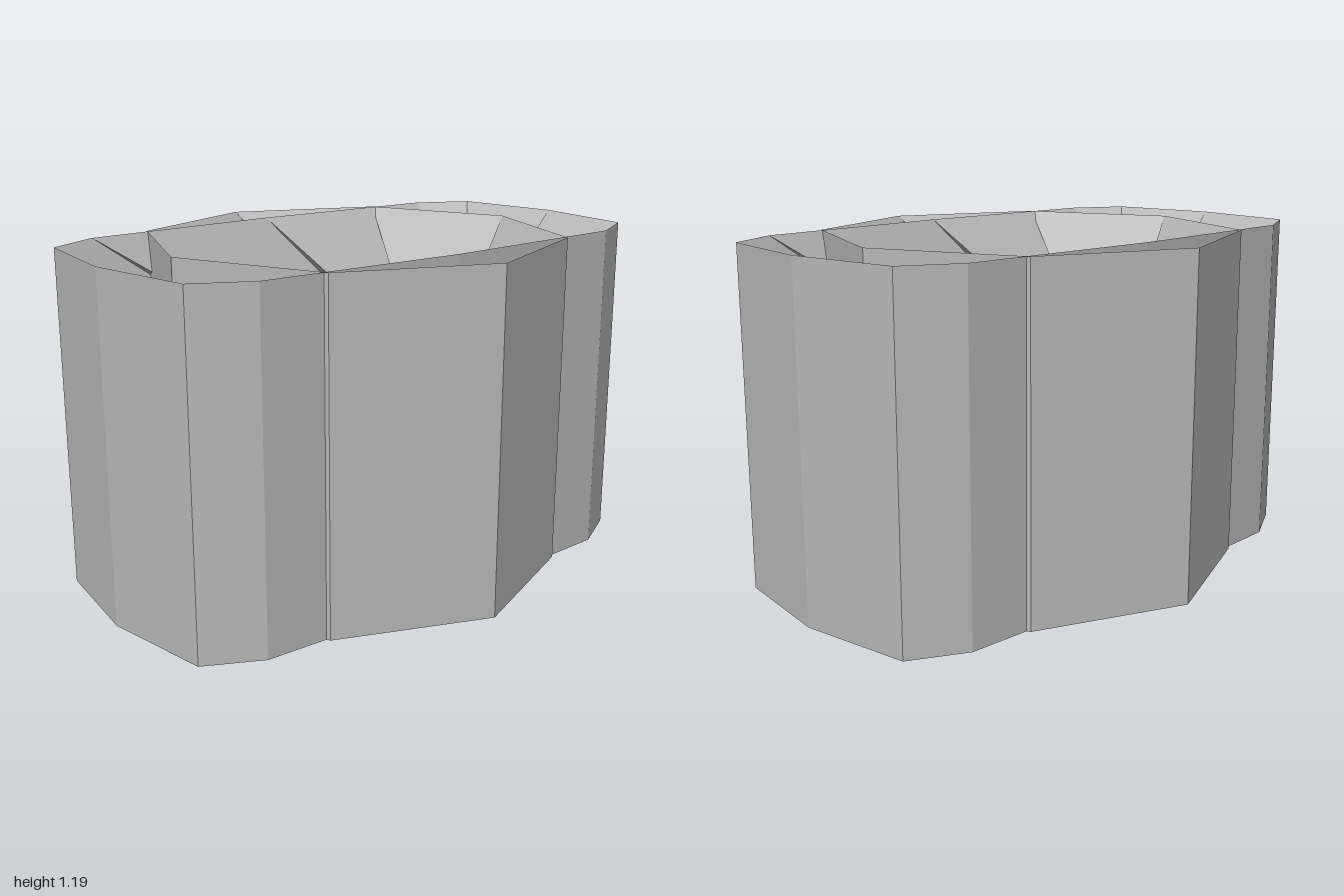
import * as THREE from 'three';

const HEIGHT = 1.187;

// Closed ring: straight outer wall, inner wall twisted by `twist` corners from top to bottom
function twistedRing(name, outline, twist, material) {
  const n = outline.length;
  const corner = (i, y) => [outline[i % n][0], y, outline[i % n][1]];
  const top = (i) => corner(i, HEIGHT);
  const base = (i) => corner(i, 0);
  const points = [];
  const tri = (a, b, c) => points.push(...a, ...b, ...c);

  for (let i = 0; i < n; i++) {
    // outer wall
    tri(top(i), top(i + 1), base(i));
    tri(top(i + 1), base(i + 1), base(i));
    // inner twisted wall
    tri(top(i + 1), top(i), base(i + twist));
    tri(base(i + twist), base(i + twist + 1), top(i + 1));
  }

  const geometry = new THREE.BufferGeometry();
  geometry.setAttribute('position', new THREE.Float32BufferAttribute(points, 3));
  geometry.computeVertexNormals();
  const mesh = new THREE.Mesh(geometry, material);
  mesh.name = name;
  return mesh;
}

export function createModel() {
  const group = new THREE.Group();
  group.name = 'twistedRings';
  const grey = new THREE.MeshStandardMaterial({ color: 0xb8b8b8, flatShading: true });
  grey.name = 'grey';

  // Regular eight-sided ring
  const octagon = [];
  for (let i = 0; i < 8; i++) {
    const a = (i * Math.PI) / 4;
    octagon.push([0.738 * Math.cos(a), 0.738 * Math.sin(a)]);
  }
  group.add(twistedRing('octagonRing', octagon, 3, grey));

  // Wide twelve-sided ring, one quarter mirrored round
  const quarter = [[1, 0], [0.94, 0.4], [0.75, 0.5], [0, 0.53]];
  const half = [...quarter, ...quarter.slice(1, 3).reverse().map(([x, z]) => [-x, z])];
  const wide = [...half, ...half.map(([x, z]) => [-x, -z])];
  group.add(twistedRing('wideRing', wide, 4, grey));

  return group;
}
